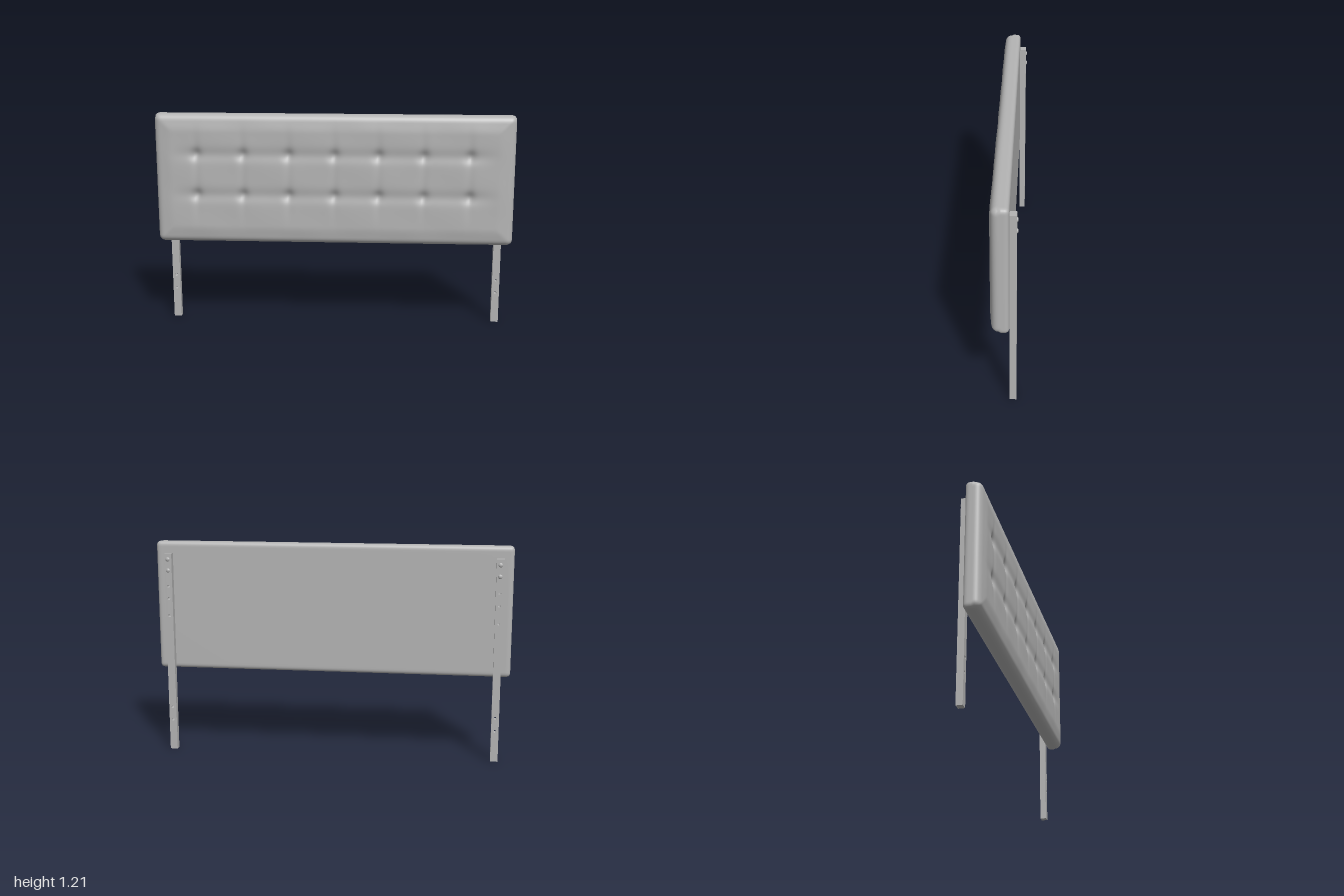
import * as THREE from 'three';
import { mergeVertices } from 'three/addons/utils/BufferGeometryUtils.js';

const TUFT_X = [-0.77, -0.51, -0.255, 0, 0.245, 0.495, 0.75];
const TUFT_Y = [0.985, 0.755];
const BOTTOM = 0.48, TOP = 1.21, BACK = -0.031, FRONT = 0.056;

const bump = (d, w) => Math.exp(-(d * d) / (w * w));

// Height of the padding above the flat front: soft pillows, creases and buttoned dimples
function padding(x, y) {
  let h = 0.011;
  for (const ty of TUFT_Y) {
    const span = THREE.MathUtils.smoothstep(0.95 - Math.abs(x), 0, 0.2);
    h -= 0.006 * bump(y - ty, 0.035) * span;
    for (const tx of TUFT_X) {
      const dx = x - tx, dy = y - ty;
      h -= 0.013 * bump(Math.hypot(dx, dy), 0.03);
      h -= 0.005 * bump(dx, 0.022) * bump(dy, 0.11);
    }
  }
  // gentle wrinkles in the fabric
  h += 0.0012 * Math.sin(17 * x + 9 * y) * Math.sin(13 * y - 5 * x);
  const edge = Math.min(1 - Math.abs(x), y - BOTTOM, TOP - y);
  return h * THREE.MathUtils.smoothstep(edge, 0, 0.1);
}

// Rounded slab whose front vertices follow the padding
function cushionGeometry() {
  const depth = FRONT - BACK, midY = (TOP + BOTTOM) / 2, midZ = (FRONT + BACK) / 2;
  const half = new THREE.Vector3(1, (TOP - BOTTOM) / 2, depth / 2);
  let geo = new THREE.BoxGeometry(2, TOP - BOTTOM, depth, 200, 76, 10);
  geo.deleteAttribute('normal');
  geo.deleteAttribute('uv');
  geo = mergeVertices(geo, 1e-5);
  const pos = geo.attributes.position;
  const p = new THREE.Vector3(), core = new THREE.Vector3();
  for (let i = 0; i < pos.count; i++) {
    p.fromBufferAttribute(pos, i);
    const r = p.z > 0 ? 0.034 : 0.022;
    const inner = half.clone().subScalar(r);
    core.copy(p).clamp(inner.clone().negate(), inner);
    p.sub(core).normalize().multiplyScalar(r).add(core);
    const y = p.y + midY;
    const frontness = THREE.MathUtils.smoothstep(p.z, 0.005, half.z);
    pos.setXYZ(i, p.x, y, p.z + midZ + padding(p.x, y) * frontness);
  }
  geo.computeVertexNormals();
  return geo;
}

// Upright bar pierced by mounting holes
function postGeometry() {
  const w = 0.021;
  const shape = new THREE.Shape();
  shape.moveTo(-w, 0);
  shape.lineTo(w, 0);
  shape.lineTo(w, 1.145);
  shape.lineTo(-w, 1.145);
  shape.closePath();
  for (const y of [0.177, 0.253, 0.79, 0.89, 0.96]) {
    const hole = new THREE.Path();
    hole.absarc(0, y, 0.008, 0, Math.PI * 2, true);
    shape.holes.push(hole);
  }
  return new THREE.ExtrudeGeometry(shape, { depth: 0.035, bevelEnabled: false, curveSegments: 16 });
}

// Domed bolt head, turned about y
function boltGeometry() {
  const profile = [[0.012, 0], [0.012, 0.002], [0.009, 0.005], [0.005, 0.0065], [0, 0.007]];
  return new THREE.LatheGeometry(profile.map(([x, y]) => new THREE.Vector2(x, y)), 20);
}

export function createModel() {
  const model = new THREE.Group();
  model.name = 'headboard';
  const grey = new THREE.MeshStandardMaterial({ color: 0xb4b4b4 });
  grey.name = 'grey';

  const add = (parent, name, geometry) => {
    const mesh = new THREE.Mesh(geometry, grey);
    mesh.name = name;
    parent.add(mesh);
    return mesh;
  };

  add(model, 'tuftedPanel', cushionGeometry());

  // Two legs with bolts on the back
  const post = postGeometry(), bolt = boltGeometry();
  for (const [side, x] of [['left', 0.925], ['right', -0.925]]) {
    const leg = new THREE.Group();
    leg.name = side + 'Leg';
    leg.position.set(x, 0, -0.066);
    add(leg, 'post', post);
    for (const y of [1.113, 1.05]) {
      const head = add(leg, 'bolt', bolt);
      head.position.y = y;
      head.rotation.x = -Math.PI / 2;
    }
    model.add(leg);
  }
  return model;
}
